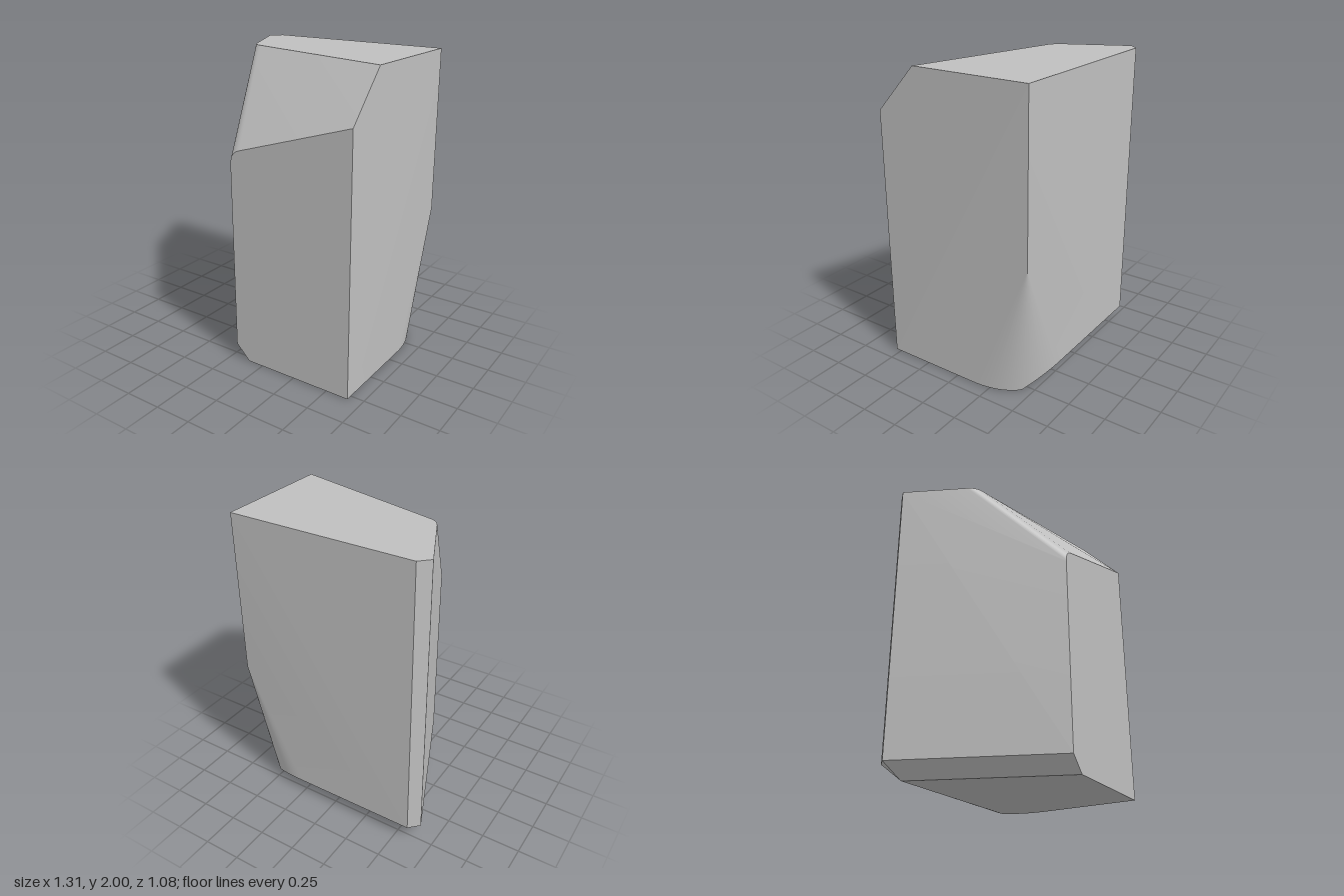
import * as THREE from 'three';
import { ConvexGeometry } from 'three/addons/geometries/ConvexGeometry.js';
import { toCreasedNormals } from 'three/addons/utils/BufferGeometryUtils.js';

const v = (x, y, z) => new THREE.Vector3(x, y, z);
const bend = (a, b, c, n) => new THREE.QuadraticBezierCurve3(a, b, c).getPoints(n);

export function createModel() {
  const stone = new THREE.MeshStandardMaterial({ color: 0xbfbfbf });
  stone.name = 'stone grey';

  const X = 0.655, Z = 0.54, top = 2, lip = 0.1;

  // flat top, with a small bevel on the back corner
  const points = [
    v(X, top, -Z), v(-0.59, top, -Z), v(-X, top, -0.475), v(X, top, 0.26),
    // rounded corner of the sloping facet at the top
    ...bend(v(-0.38, top, 0), v(-0.434, top, -0.013), v(-0.462, top, -0.07), 10),
    // facet's lower edge on the front face
    v(X, 1.7, Z),
    ...bend(v(-0.14, 1.45, Z), v(-0.21, 1.43, Z), v(-0.21, 1.35, Z), 10),
    // upper rim of the bottom bevel
    v(-0.21, lip, Z), v(-X, lip, -0.475), v(-0.59, lip, -Z),
    // underside
    v(-0.11, 0, Z), v(X, 0, Z), v(-0.53, 0, -0.43),
  ];

  // conical blend on the back corner: rays from the apex down to the underside or the back bevel
  const apex = v(X, 0.92, -Z);
  points.push(apex);
  for (const p of bend(v(0, -0.92, 0.42), v(0, -0.92, 0), v(-0.45, -0.92, 0), 24)) {
    const reach = Math.min(1, 0.82 / (0.92 - 0.909 * p.z));
    points.push(apex.clone().addScaledVector(p, reach));
  }

  const block = new THREE.Mesh(toCreasedNormals(new ConvexGeometry(points), 0.13), stone);
  block.name = 'facetedBlock';

  const model = new THREE.Group();
  model.name = 'cutStone';
  model.add(block);
  return model;
}
